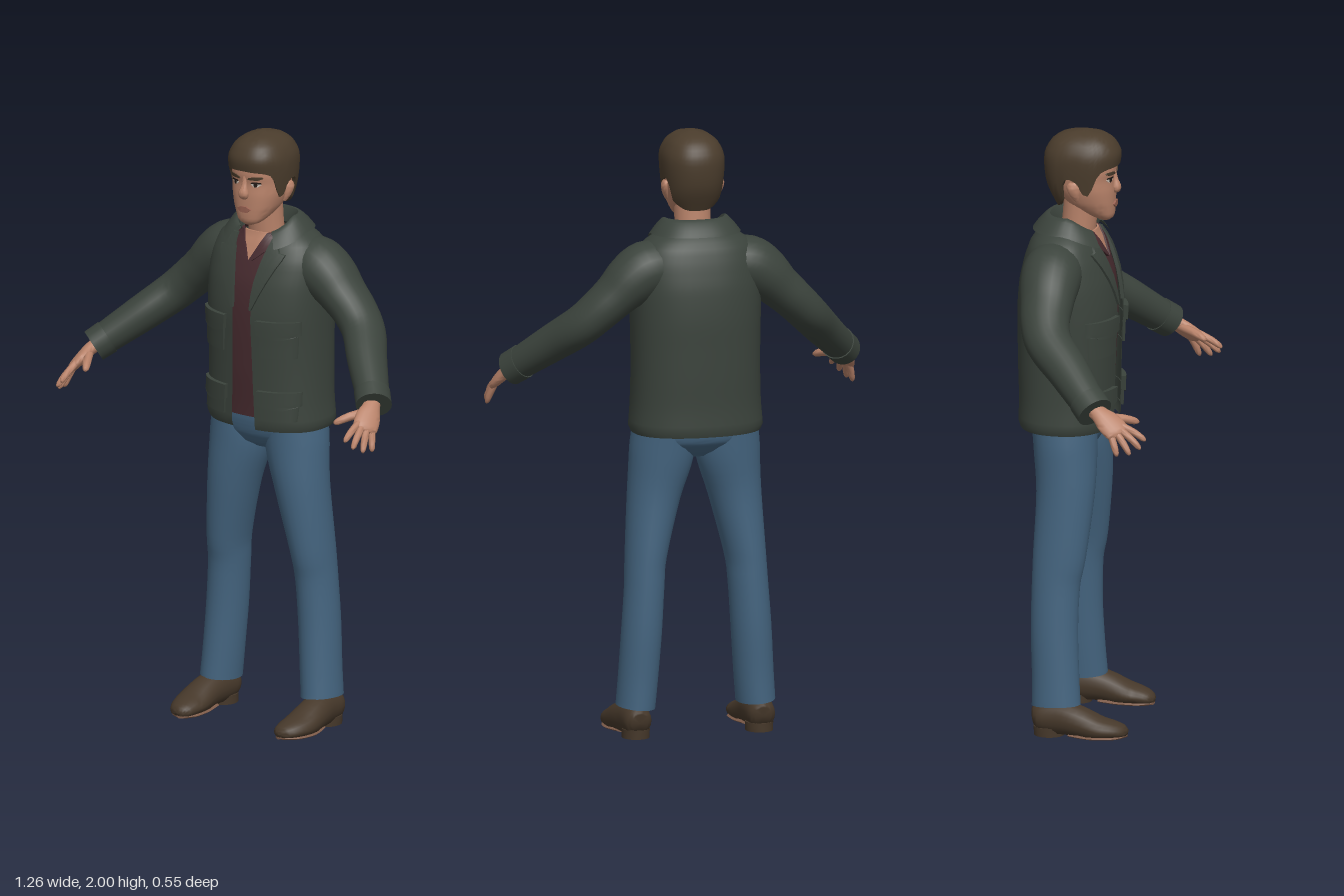
import * as THREE from 'three';
import { toCreasedNormals } from 'three/addons/utils/BufferGeometryUtils.js';

const mat = (name, color) => {
  const m = new THREE.MeshStandardMaterial({ color, side: THREE.DoubleSide });
  m.name = name;
  return m;
};

// Catmull-Rom blend of one table column between rows i and i + 1
const blend = (tab, i, f, c) => {
  const p = (k) => tab[Math.min(Math.max(k, 0), tab.length - 1)][c];
  const a = p(i - 1), b = p(i), d = p(i + 1), e = p(i + 2);
  return b + 0.5 * f * (d - a + f * (2 * a - 5 * b + 4 * d - e + f * (3 * (b - d) + e - a)));
};
// Row of a table at key k (the first column)
const at = (tab, k) => {
  let i = 0;
  while (i < tab.length - 2 && k > tab[i + 1][0]) i++;
  const f = THREE.MathUtils.clamp((k - tab[i][0]) / (tab[i + 1][0] - tab[i][0]), 0, 1);
  return tab[i].map((_, c) => blend(tab, i, f, c));
};

// Surface from a rule fn(u, v) returning [x, y, z]
function grid(nu, nv, fn) {
  const pos = [], idx = [];
  for (let j = 0; j <= nv; j++) for (let i = 0; i <= nu; i++) pos.push(...fn(i / nu, j / nv, i, j));
  for (let j = 0; j < nv; j++) for (let i = 0; i < nu; i++) {
    const a = j * (nu + 1) + i, d = a + nu + 1;
    idx.push(a, a + 1, d + 1, a, d + 1, d);
  }
  const g = new THREE.BufferGeometry();
  g.setAttribute('position', new THREE.Float32BufferAttribute(pos, 3));
  g.setIndex(idx);
  return g;
}

// Rounded horizontal ring; table rows are [y, halfWidth, zBack, zFront]
const P = 2.35;
const pw = (v) => Math.sign(v) * Math.abs(v) ** (2 / P);
function ringPoint(tab, y, phi, k = 1) {
  const [, rx, zb, zf] = at(tab, y);
  return [k * rx * pw(Math.sin(phi)), y, (zb + zf) / 2 + k * (zf - zb) / 2 * pw(Math.cos(phi))];
}
const frontZ = (tab, x, y) => {
  const [, rx, zb, zf] = at(tab, y);
  return (zb + zf) / 2 + (zf - zb) / 2 * Math.max(0, 1 - (Math.abs(x) / rx) ** P) ** (1 / P);
};
const shell = (tab, nu = 40, nv = 28) => grid(nu, nv, (u, v) =>
  ringPoint(tab, THREE.MathUtils.lerp(tab[0][0], tab.at(-1)[0], v), u * 2 * Math.PI));

// Raised panel lying on the front of a shell; rows are [y, x0, x1] from low to high
function patch(tab, rows, off, drop = 0.006) {
  const nu = 10, nv = 10;
  return grid(nu, nv, (_, __, i, j) => {
    const u = THREE.MathUtils.clamp((i - 1) / (nu - 2), 0, 1);
    const t = THREE.MathUtils.clamp((j - 1) / (nv - 2), 0, 1) * (rows.length - 1);
    const k = Math.min(Math.floor(t), rows.length - 2);
    const [y, a, b] = rows[k].map((r, c) => THREE.MathUtils.lerp(r, rows[k + 1][c], t - k));
    const edge = i === 0 || j === 0 || i === nu || j === nv;
    const x = a + (b - a) * u;
    return [x, y, frontZ(tab, x, y) + off - (edge ? drop : 0)];
  });
}

// Capped limb through stations [x, y, z, radius along ref, radius across]
function limb(st, ref = [0, 0, 1], nu = 18, per = 4, floor = -9) {
  const nv = (st.length - 1) * per, R = new THREE.Vector3(...ref);
  const row = (t) => {
    const i = Math.min(Math.floor(t), st.length - 2);
    return st[0].map((_, c) => blend(st, i, t - i, c));
  };
  return grid(nu, nv + 2, (u, _, i, j) => {
    const t = THREE.MathUtils.clamp(j - 1, 0, nv) / per, s = row(t);
    const a = new THREE.Vector3(...row(Math.max(0, t - 0.1)));
    const T = new THREE.Vector3(...row(Math.min(st.length - 1, t + 0.1))).sub(a).normalize();
    const U = R.clone().addScaledVector(T, -R.dot(T)).normalize(), V = T.clone().cross(U);
    const k = j === 0 || j === nv + 2 ? 0 : 1, w = u * 2 * Math.PI;
    const p = new THREE.Vector3(...s).addScaledVector(U, k * s[3] * Math.cos(w)).addScaledVector(V, k * s[4] * Math.sin(w));
    return [p.x, Math.max(p.y, floor), p.z];
  });
}

function mirrored(g) {
  const m = g.clone().scale(-1, 1, 1), ix = m.index.array;
  for (let i = 0; i < ix.length; i += 3) [ix[i + 1], ix[i + 2]] = [ix[i + 2], ix[i + 1]];
  return m;
}

export function createModel() {
  const root = new THREE.Group();
  root.name = 'man';
  const M = {
    jacket: mat('jacket green', 0x3b433c), jeans: mat('denim blue', 0x44647f), shirt: mat('shirt maroon', 0x472b2f),
    skin: mat('skin', 0xb9836a), hair: mat('hair brown', 0x4a3c2c), shoe: mat('shoe brown', 0x46382a),
    sole: mat('sole tan', 0x7d5b49), lip: mat('lip', 0x9a6353), white: mat('eye white', 0xc9bfb4), dark: mat('eye dark', 0x241c18),
  };
  const add = (name, geo, m, both = false) => {
    for (const [g, n] of both ? [[geo, 'left ' + name], [mirrored(geo), 'right ' + name]] : [[geo, name]]) {
      const mesh = new THREE.Mesh(toCreasedNormals(g, 0.95), m);
      mesh.name = n;
      root.add(mesh);
    }
  };

  // Jacket body, open down the front
  const coat = [[1.01, 0.222, -0.272, 0.048], [1.1, 0.215, -0.27, 0.05], [1.2, 0.212, -0.273, 0.052], [1.3, 0.212, -0.275, 0.055],
    [1.4, 0.214, -0.276, 0.058], [1.5, 0.215, -0.268, 0.045], [1.58, 0.208, -0.25, 0.02], [1.63, 0.185, -0.232, -0.005],
    [1.66, 0.15, -0.21, -0.025], [1.685, 0.1, -0.18, -0.045]];
  const gap = [[1.01, 0.046], [1.2, 0.04], [1.42, 0.036], [1.5, 0.042], [1.6, 0.064], [1.685, 0.075]];
  add('jacket body', grid(48, 36, (u, v, i, j) => {
    const y = 1.01 + 0.675 * v;
    const p0 = Math.asin((at(gap, y)[1] / at(coat, y)[1]) ** (P / 2));
    return ringPoint(coat, y, p0 + u * 2 * (Math.PI - p0), j === 0 ? 0.96 : 1);
  }), M.jacket);

  // Folded collar and lapels
  const collar = [[0, 0.15, -0.228, 0.03, 1.668], [1, 0.125, -0.202, 0.01, 1.7], [2, 0.1, -0.172, -0.012, 1.718], [3, 0.085, -0.155, -0.02, 1.67]];
  add('jacket collar', grid(36, 9, (u, v) => {
    const phi = 0.62 + u * 2 * (Math.PI - 0.62), p = ringPoint(collar, v * 3, phi);
    return [p[0], at(collar, v * 3)[4] - 0.055 * Math.max(0, Math.cos(phi)), p[2]];
  }), M.jacket);
  add('lapel', patch(coat, [[1.42, 0.033, 0.04], [1.5, 0.038, 0.078], [1.57, 0.052, 0.112], [1.605, 0.06, 0.132], [1.612, 0.062, 0.1], [1.65, 0.07, 0.1]], 0.008, 0.012), M.jacket, true);

  // Patch pockets with pointed flaps
  for (const [name, top, h] of [['chest', 1.39, 0.125], ['hip', 1.15, 0.1]]) {
    add(name + ' pocket', patch(coat, [[top - h, 0.075, 0.18], [top - 0.03, 0.07, 0.185]], 0.009, 0.012), M.jacket, true);
    add(name + ' pocket flap', patch(coat, [[top - 0.06, 0.1, 0.15], [top - 0.048, 0.065, 0.19], [top, 0.062, 0.19]], 0.016, 0.016), M.jacket, true);
  }

  // Sleeves and cuffs
  add('sleeve', limb([[0.1, 1.56, -0.13, 0.09, 0.085], [0.17, 1.553, -0.13, 0.1, 0.095], [0.225, 1.52, -0.13, 0.097, 0.088],
    [0.275, 1.475, -0.127, 0.088, 0.074], [0.33, 1.425, -0.12, 0.081, 0.068], [0.385, 1.372, -0.094, 0.076, 0.065],
    [0.45, 1.31, -0.022, 0.069, 0.061], [0.52, 1.245, 0.05, 0.06, 0.055], [0.56, 1.208, 0.092, 0.055, 0.05]], [0, 0, 1], 24), M.jacket, true);
  add('cuff', limb([[0.535, 1.231, 0.065, 0.061, 0.057], [0.567, 1.202, 0.099, 0.061, 0.055]], [0, 0, 1], 24), M.jacket, true);

  // Hands
  add('palm', limb([[0.545, 1.22, 0.075, 0.03, 0.026], [0.566, 1.198, 0.112, 0.03, 0.022], [0.578, 1.174, 0.145, 0.042, 0.02],
    [0.59, 1.148, 0.178, 0.042, 0.016], [0.594, 1.138, 0.188, 0.03, 0.01]], [-0.6, 0.3, 0.75]), M.skin, true);
  const fingers = [['index finger', [0.572, 1.162, 0.195], [0.574, 1.118, 0.27]], ['middle finger', [0.584, 1.152, 0.19], [0.598, 1.095, 0.258]],
    ['ring finger', [0.595, 1.143, 0.178], [0.615, 1.078, 0.226]], ['little finger', [0.603, 1.14, 0.16], [0.623, 1.073, 0.185]],
    ['thumb', [0.556, 1.185, 0.14], [0.503, 1.16, 0.232]]];
  for (const [name, a, b] of fingers) {
    const k = name === 'thumb' ? 1.25 : 1;
    add(name, limb([[-0.1, 0.012], [0.5, 0.0115], [0.88, 0.009], [1, 0.003]].map(([t, r]) =>
      [...a.map((c, i) => c + (b[i] - c) * t + (i === 1 ? 0.014 * t * (1 - t) : 0)), r * k, r * k]), [1, 0, 0], 10, 2), M.skin, true);
  }

  // Shirt, open neck and shirt collar
  const tee = [[1.045, 0.19, -0.235, 0.022], [1.2, 0.185, -0.24, 0.034], [1.4, 0.185, -0.24, 0.042], [1.5, 0.18, -0.235, 0.035],
    [1.58, 0.16, -0.215, 0.012], [1.63, 0.12, -0.19, -0.008], [1.665, 0.075, -0.15, -0.022]];
  add('shirt', shell(tee), M.shirt);
  add('open neck', patch(tee, [[1.575, -0.001, 0.001], [1.62, -0.022, 0.022], [1.665, -0.05, 0.05]], 0.004), M.skin);
  add('shirt collar', patch(tee, [[1.575, 0.002, 0.014], [1.615, 0.022, 0.062], [1.665, 0.046, 0.07]], 0.01, 0.012), M.shirt, true);
  add('neck', limb([[0, 1.62, -0.09, 0.062, 0.066], [0, 1.68, -0.08, 0.057, 0.06], [0, 1.79, -0.07, 0.058, 0.06]]), M.skin);

  // Jeans
  add('jeans hips', shell([[0.925, 0.05, -0.15, -0.05], [0.945, 0.12, -0.18, -0.02], [0.98, 0.19, -0.212, 0], [1.03, 0.203, -0.222, 0.01], [1.1, 0.2, -0.222, 0.01]]), M.jeans);
  add('jeans leg', limb([[0.108, 1.04, -0.105, 0.108, 0.1], [0.112, 0.94, -0.1, 0.104, 0.107], [0.137, 0.8, -0.095, 0.096, 0.088],
    [0.168, 0.6, -0.108, 0.088, 0.068], [0.176, 0.5, -0.118, 0.08, 0.065], [0.186, 0.35, -0.121, 0.078, 0.066],
    [0.196, 0.2, -0.115, 0.078, 0.065], [0.204, 0.1, -0.111, 0.081, 0.064]], [0, 0, 1], 24), M.jeans, true);

  // Shoes, soles and heels
  add('shoe', limb([[0.21, 0.055, -0.184, 0.028, 0.03], [0.21, 0.058, -0.165, 0.045, 0.05], [0.212, 0.06, -0.1, 0.05, 0.06], [0.217, 0.052, -0.04, 0.055, 0.054],
    [0.217, 0.033, 0.03, 0.06, 0.042], [0.21, 0.027, 0.08, 0.052, 0.032], [0.2, 0.022, 0.113, 0.034, 0.022], [0.196, 0.02, 0.127, 0.01, 0.008]], [1, 0, 0], 20, 3, 0.012), M.shoe, true);
  add('sole', limb([[0.214, 0.01, -0.06, 0.04, 0.008], [0.217, 0.008, 0, 0.054, 0.009], [0.216, 0.008, 0.04, 0.056, 0.009],
    [0.207, 0.008, 0.09, 0.045, 0.009], [0.197, 0.01, 0.124, 0.012, 0.006]], [1, 0, 0], 16, 3, 0), M.sole, true);
  const heel = new THREE.CylinderGeometry(0.046, 0.045, 0.03, 20).scale(1, 1, 1.1).translate(0.21, 0.015, -0.134);
  add('heel', heel, M.shoe, true);

  // Head
  const head = [[1.697, 0.015, -0.01, 0.022], [1.708, 0.04, -0.03, 0.036], [1.735, 0.06, -0.085, 0.04], [1.76, 0.074, -0.12, 0.041],
    [1.8, 0.086, -0.15, 0.041], [1.84, 0.091, -0.165, 0.038], [1.87, 0.092, -0.17, 0.043], [1.92, 0.088, -0.165, 0.035], [1.96, 0.05, -0.12, 0]];
  add('head', shell(head, 36, 30), M.skin);
  add('nose', limb([[0, 1.872, 0.034, 0.008, 0.008], [0, 1.835, 0.038, 0.01, 0.012], [0, 1.806, 0.044, 0.018, 0.017], [0, 1.792, 0.038, 0.011, 0.008]], [1, 0, 0], 12), M.skin);
  add('ear', limb([[0.09, 1.836, -0.08, 0.014, 0.008], [0.096, 1.822, -0.08, 0.021, 0.01], [0.092, 1.795, -0.073, 0.016, 0.009], [0.084, 1.773, -0.066, 0.006, 0.005]], [0, 0, 1], 12), M.skin, true);
  add('eye', patch(head, [[1.833, 0.034, 0.046], [1.841, 0.024, 0.056], [1.848, 0.032, 0.052]], 0.002, 0.002), M.white, true);
  add('iris', patch(head, [[1.833, 0.037, 0.043], [1.84, 0.034, 0.046], [1.848, 0.036, 0.044]], 0.004, 0.002), M.dark, true);
  add('eyelid line', patch(head, [[1.845, 0.024, 0.058], [1.85, 0.03, 0.055]], 0.004, 0.002), M.dark, true);
  add('eyebrow', patch(head, [[1.857, 0.016, 0.05], [1.863, 0.018, 0.064], [1.868, 0.035, 0.06]], 0.004, 0.004), M.hair, true);
  add('lips', patch(head, [[1.744, -0.012, 0.012], [1.755, -0.028, 0.028], [1.764, -0.01, 0.01]], 0.006, 0.006), M.lip);

  // Hair cap with a hairline that drops at the temples and nape
  const hair = [[1.74, 0.075, -0.148, 0.03], [1.78, 0.091, -0.168, 0.04], [1.82, 0.097, -0.185, 0.046], [1.88, 0.102, -0.193, 0.054],
    [1.925, 0.1, -0.19, 0.058], [1.965, 0.08, -0.166, 0.036], [1.988, 0.048, -0.128, 0], [2, 0.001, -0.066, -0.064]];
  const line = [[0, 1.887], [0.7, 1.882], [1.0, 1.865], [1.25, 1.8], [1.45, 1.8], [1.6, 1.845], [1.9, 1.84], [2.1, 1.775], [2.6, 1.747], [3.15, 1.742]];
  add('hair', grid(48, 18, (u, v, i, j) => {
    const phi = u * 2 * Math.PI, low = at(line, Math.min(phi, 2 * Math.PI - phi))[1];
    return ringPoint(hair, low + (2 - low) * Math.sin(Math.max(0, j - 1) / 17 * Math.PI / 2), phi, j === 0 ? 0.88 : 1);
  }), M.hair);

  return root;
}
